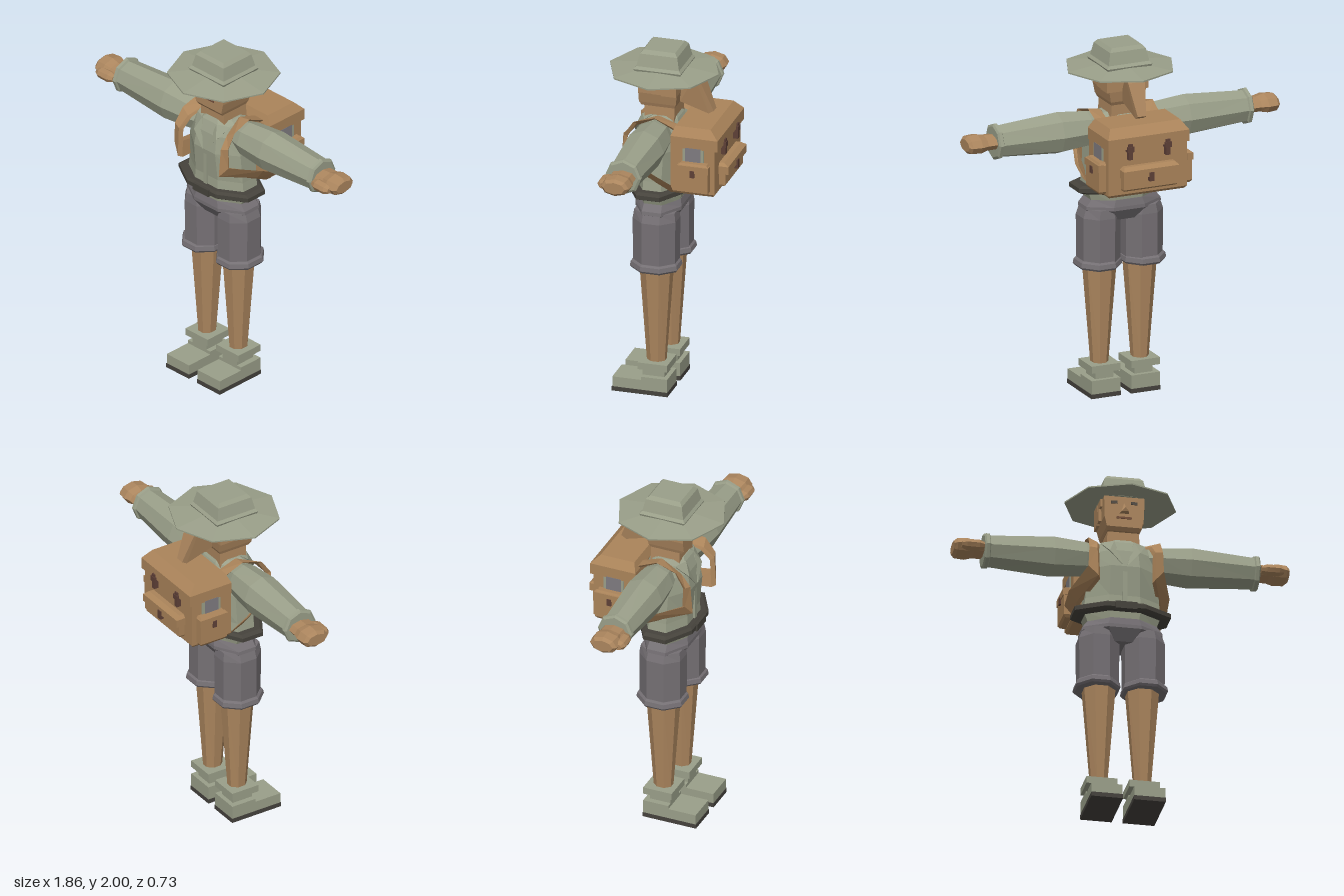
import * as THREE from 'three';
import { ConvexGeometry } from 'three/addons/geometries/ConvexGeometry.js';

const mat = (name, color) => Object.assign(new THREE.MeshStandardMaterial({ color }), { name });
const V = (x, y, z) => new THREE.Vector3(x, y, z);
const CZ = 0.06; // body centre depth

// Closed faceted solid through rings of equal point count, always facing outward
function loft(rings) {
  const n = rings[0].length, tris = [];
  for (let r = 0; r < rings.length - 1; r++) {
    const a = rings[r], b = rings[r + 1];
    for (let i = 0; i < n; i++) {
      const j = (i + 1) % n;
      tris.push([a[i], a[j], b[j]], [a[i], b[j], b[i]]);
    }
  }
  const first = rings[0], last = rings[rings.length - 1];
  for (let i = 1; i < n - 1; i++) {
    tris.push([first[0], first[i + 1], first[i]], [last[0], last[i], last[i + 1]]);
  }
  const c = rings.flat().reduce((s, p) => s.add(p), V(0, 0, 0)).divideScalar(n * rings.length);
  let volume = 0;
  for (const t of tris) {
    const [p, q, s] = t.map((v) => v.clone().sub(c));
    volume += p.dot(q.cross(s));
  }
  if (volume < 0) tris.forEach((t) => t.reverse());
  const geo = new THREE.BufferGeometry().setFromPoints(tris.flat());
  geo.computeVertexNormals();
  return geo;
}

// Octagon lofts: upright with flat fronts [y, rx, rz], or along x with edges on the axes [x, ry, rz]
const upright = (rows, cx = 0, cz = CZ) => loft(rows.map(([y, rx, rz]) =>
  Array.from({ length: 8 }, (_, i) => {
    const a = (i + 0.5) * Math.PI / 4, k = 1 / Math.cos(Math.PI / 8);
    return V(cx + Math.cos(a) * rx * k, y, cz + Math.sin(a) * rz * k);
  })));
const sideways = (rows, s, cy, cz) => loft(rows.map(([x, ry, rz]) =>
  Array.from({ length: 8 }, (_, i) => {
    const a = i * Math.PI / 4;
    return V(s * x, cy + Math.cos(a) * ry, cz + Math.sin(a) * rz);
  })));

// Stack of rectangles [y, halfWidth, zBack, zFront]
const blocks = (rows) => loft(rows.map(([y, w, z0, z1]) =>
  [V(-w, y, z0), V(w, y, z0), V(w, y, z1), V(-w, y, z1)]));

// Box given by its limits
function box(x0, x1, y0, y1, z0, z1) {
  const g = new THREE.BoxGeometry(Math.abs(x1 - x0), y1 - y0, z1 - z0);
  return g.translate((x0 + x1) / 2, (y0 + y1) / 2, (z0 + z1) / 2);
}

export function createModel() {
  const root = new THREE.Group();
  root.name = 'explorer';
  const sage = mat('sage cloth', 0x9a9f89), skin = mat('skin', 0xac865e);
  const canvas = mat('pack canvas', 0xab845a), shorts = mat('grey shorts', 0x757074);
  const belt = mat('dark belt', 0x46433c), sole = mat('shoe sole', 0x45423d);
  const buckle = mat('buckle leather', 0x5e4037), glass = mat('grey panel', 0x7f7b80);
  const eye = mat('eye', 0x554e45), lip = mat('lip', 0x74503c);
  const add = (name, geo, material) => {
    const m = new THREE.Mesh(geo, material);
    m.name = name;
    root.add(m);
    return m;
  };

  // Hat
  const brim = (y, r) => Array.from({ length: 8 }, (_, i) =>
    V(Math.cos(i * Math.PI / 4) * r, y, 0.055 + Math.sin(i * Math.PI / 4) * r));
  add('hatBrim', loft([brim(1.875, 0.1), brim(1.858, 0.31), brim(1.866, 0.31), brim(1.888, 0.13)]), sage);
  add('hatCrown', blocks([
    [1.87, 0.125, -0.07, 0.18], [1.895, 0.135, -0.08, 0.19], [1.91, 0.122, -0.067, 0.177],
    [1.98, 0.107, -0.052, 0.162], [2.0, 0.09, -0.035, 0.145],
  ]), sage);

  // Head and face
  add('neck', blocks([[1.55, 0.095, -0.03, 0.14], [1.7, 0.085, -0.03, 0.14]]), skin);
  add('head', blocks([
    [1.67, 0.09, -0.03, 0.155], [1.69, 0.097, -0.04, 0.17],
    [1.75, 0.11, -0.05, 0.17], [1.88, 0.112, -0.05, 0.17],
  ]), skin);
  add('nose', new ConvexGeometry([
    V(0, 1.835, 0.168), V(-0.028, 1.77, 0.168), V(0.028, 1.77, 0.168),
    V(-0.02, 1.77, 0.205), V(0.02, 1.77, 0.205), V(0, 1.79, 0.212),
  ]), skin);
  add('mouth', box(-0.042, 0.042, 1.738, 1.75, 0.166, 0.174), lip);
  add('ponytail', new ConvexGeometry([-1, 1].flatMap((s) => [
    V(s * 0.03, 1.75, -0.04), V(s * 0.03, 1.69, -0.045), V(s * 0.055, 1.86, -0.135),
    V(s * 0.05, 1.83, -0.165), V(s * 0.025, 1.655, -0.235), V(s * 0.025, 1.637, -0.205),
  ])), skin);

  // Shirt, belt and shorts waist
  add('shirt', upright([
    [1.11, 0.185, 0.12], [1.19, 0.215, 0.13], [1.27, 0.205, 0.125],
    [1.44, 0.195, 0.142], [1.54, 0.18, 0.125], [1.6, 0.15, 0.1], [1.62, 0.1, 0.085],
  ]), sage);
  add('shirtPlacket', box(-0.012, 0.012, 1.22, 1.44, 0.185, 0.199), sage);
  add('belt', upright([[1.172, 0.245, 0.145], [1.183, 0.268, 0.158], [1.207, 0.268, 0.158], [1.218, 0.245, 0.145]], 0, 0.068), belt);
  add('beltBuckle', box(-0.06, 0.06, 1.172, 1.214, 0.2, 0.234), belt);
  add('shortsWaist', upright([[1.01, 0.12, 0.09], [1.075, 0.225, 0.132], [1.095, 0.222, 0.132], [1.135, 0.19, 0.124]]), shorts);

  for (const s of [1, -1]) {
    const side = s > 0 ? 'left' : 'right';
    const both = (name, geo, m) => add(side + name, geo, m);

    // Face sides, eyes and collar
    both('Hair', box(s * 0.1, s * 0.125, 1.75, 1.87, -0.05, 0.035), skin);
    both('Ear', box(s * 0.1, s * 0.125, 1.755, 1.825, 0.035, 0.085), skin);
    both('Sideburn', box(s * 0.1, s * 0.123, 1.825, 1.87, 0.035, 0.12), skin);
    both('Eye', box(s * 0.038, s * 0.073, 1.826, 1.842, 0.166, 0.175), eye);
    both('Collar', new ConvexGeometry([
      V(s * 0.1, 1.625, 0.09), V(s * 0.125, 1.6, 0.13), V(s * 0.055, 1.605, 0.165), V(s * 0.01, 1.44, 0.208),
      V(s * 0.085, 1.53, 0.198), V(s * 0.09, 1.55, 0.15), V(s * 0.01, 1.45, 0.19),
    ]), sage);

    // Arm
    both('Sleeve', sideways([[0.12, 0.08, 0.08], [0.2, 0.1, 0.1], [0.38, 0.118, 0.115], [0.75, 0.09, 0.092]], s, 1.53, 0.053), sage);
    both('Cuff', sideways([[0.733, 0.09, 0.09], [0.74, 0.103, 0.103], [0.758, 0.103, 0.103], [0.766, 0.09, 0.09]], s, 1.53, 0.053), sage);
    both('Hand', sideways([
      [0.75, 0.04, 0.075], [0.82, 0.042, 0.075], [0.86, 0.054, 0.086], [0.915, 0.05, 0.08], [0.932, 0.034, 0.062],
    ], s, 1.533, 0.052), skin);
    both('Thumb', sideways([[0.77, 0.02, 0.025], [0.8, 0.032, 0.04], [0.87, 0.03, 0.04], [0.895, 0.018, 0.025]], s, 1.525, 0.125), skin);

    // Leg and shoe
    both('ShortsLeg', upright([[0.76, 0.11, 0.12], [1.03, 0.112, 0.122], [1.08, 0.095, 0.115]], s * 0.127), shorts);
    both('ShortsHem', upright([[0.738, 0.115, 0.127], [0.75, 0.123, 0.135], [0.775, 0.118, 0.13], [0.785, 0.108, 0.12]], s * 0.132), shorts);
    both('Leg', upright([[0.17, 0.044, 0.05], [0.78, 0.09, 0.09]], s * 0.121), skin);
    both('Sock', box(s * 0.033, s * 0.205, 0.145, 0.185, -0.025, 0.145), sage);
    both('Ankle', box(s * 0.063, s * 0.172, 0.09, 0.146, 0, 0.125), sage);
    both('Heel', box(s * 0.033, s * 0.205, 0.08, 0.102, -0.025, 0.125), sage);
    both('Shoe', box(s * 0.033, s * 0.205, 0.024, 0.083, -0.025, 0.288), sage);
    both('Sole', box(s * 0.031, s * 0.207, 0, 0.025, -0.027, 0.291), sole);

    // Shoulder strap: pairs of edge points, thickened toward the body
    const edges = [
      [[0.12, 1.59, -0.07], [0.19, 1.59, -0.07]], [[0.12, 1.632, 0.05], [0.195, 1.645, 0.05]],
      [[0.15, 1.58, 0.18], [0.2, 1.61, 0.17]], [[0.162, 1.52, 0.238], [0.205, 1.53, 0.225]],
      [[0.158, 1.35, 0.25], [0.21, 1.415, 0.225]], [[0.235, 1.285, 0.03], [0.28, 1.345, 0.03]],
      [[0.235, 1.24, -0.07], [0.285, 1.3, -0.07]],
    ];
    both('Strap', loft(edges.map((pair) => {
      const [a, b] = pair.map(([x, y, z]) => V(s * x, y, z));
      const inward = (p) => V(p.x * 0.92, p.y - 0.012, p.z + (CZ - p.z) * 0.12);
      return [a, b, inward(b), inward(a)];
    })), canvas);

    // Pack side pocket, panel and rear buckles
    const pocket = blocks([[1.255, 0.02, -0.27, -0.12], [1.27, 0.03, -0.28, -0.11], [1.42, 0.03, -0.28, -0.11], [1.435, 0.02, -0.27, -0.12]]);
    both('PackPocket', pocket.translate(s * 0.25, 0, 0), canvas);
    both('PackPocketFlap', box(s * 0.25, s * 0.285, 1.385, 1.425, -0.284, -0.106), canvas);
    both('PackPocketBuckle', box(s * 0.27, s * 0.29, 1.36, 1.4, -0.205, -0.18), buckle);
    both('PanelFrame', box(s * 0.232, s * 0.241, 1.425, 1.54, -0.245, -0.125), sage);
    both('Panel', box(s * 0.236, s * 0.244, 1.43, 1.515, -0.228, -0.14), glass);
    both('LidStrap', box(s * 0.1, s * 0.125, 1.45, 1.54, -0.334, -0.3), buckle);
    both('LidBuckle', box(s * 0.092, s * 0.133, 1.495, 1.525, -0.338, -0.3), buckle);
  }

  // Backpack
  add('packBody', blocks([[1.235, 0.225, -0.295, -0.06], [1.25, 0.236, -0.307, -0.055], [1.56, 0.236, -0.307, -0.055]]), canvas);
  add('packLid', blocks([[1.51, 0.243, -0.325, -0.055], [1.575, 0.243, -0.325, -0.055], [1.625, 0.21, -0.275, -0.075]]), canvas);
  add('packRearPocket', blocks([[1.275, 0.155, -0.335, -0.29], [1.285, 0.16, -0.345, -0.29], [1.38, 0.16, -0.345, -0.29], [1.405, 0.15, -0.325, -0.29]]), canvas);
  add('rearPocketFlap', blocks([[1.35, 0.167, -0.363, -0.29], [1.395, 0.167, -0.363, -0.29], [1.412, 0.15, -0.335, -0.29]]), canvas);
  add('rearPocketBuckle', box(-0.014, 0.014, 1.325, 1.375, -0.369, -0.34), buckle);
  return root;
}
